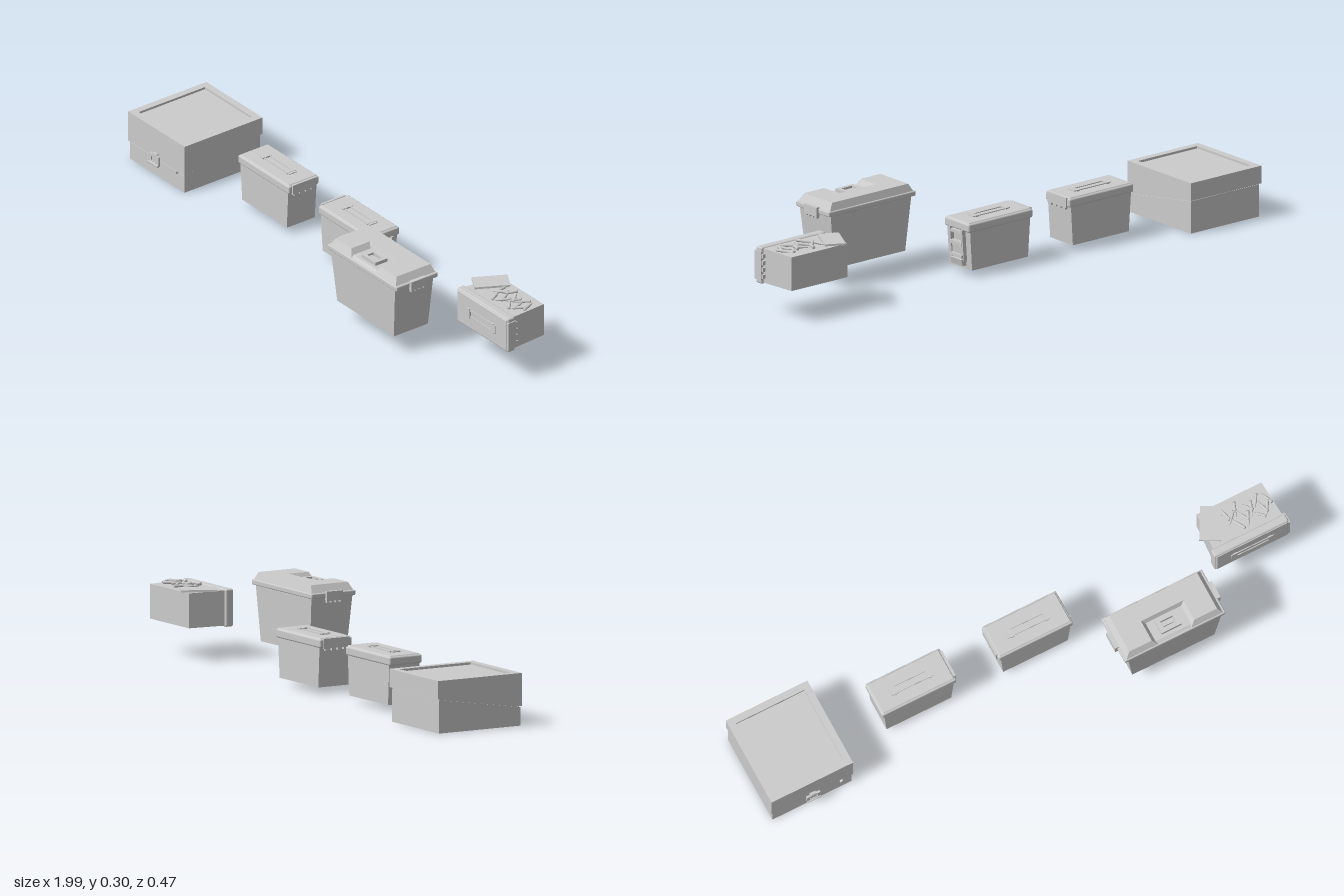
import * as THREE from 'three';
import { RoundedBoxGeometry } from 'three/addons/geometries/RoundedBoxGeometry.js';

const mat = new THREE.MeshStandardMaterial({ color: 0xcccccc });

function add(parent, name, geometry, x = 0, y = 0, z = 0) {
  const m = new THREE.Mesh(geometry, mat);
  m.name = name;
  m.position.set(x, y, z);
  parent.add(m);
  return m;
}

function group(parent, name, x, y, z) {
  const g = new THREE.Group();
  g.name = name;
  g.position.set(x, y, z);
  parent.add(g);
  return g;
}

const box = (w, h, d) => new THREE.BoxGeometry(w, h, d);

// Six-sided block with separate bottom and top rectangles [x0, x1, z0, z1]
function block(y0, b, y1, t) {
  const g = box(1, 1, 1), p = g.attributes.position;
  for (let i = 0; i < p.count; i++) {
    const up = p.getY(i) > 0, r = up ? t : b;
    p.setXYZ(i, r[p.getX(i) > 0 ? 1 : 0], up ? y1 : y0, r[p.getZ(i) > 0 ? 3 : 2]);
  }
  g.computeVertexNormals();
  return g;
}

// Extrudes a (z, y) outline along x, centred
function sideProfile(points, width) {
  const s = new THREE.Shape(points.map(([z, y]) => new THREE.Vector2(-z, y)));
  const g = new THREE.ExtrudeGeometry(s, { depth: width, bevelEnabled: false });
  return g.translate(0, 0, -width / 2).rotateY(Math.PI / 2);
}

// Rectangular ring lying flat, thickness upwards
function frame(w, d, iw, id, h) {
  const rect = (C, a, b) => new C([[-a, -b], [a, -b], [a, b], [-a, b]].map(([x, y]) => new THREE.Vector2(x / 2, y / 2)));
  const s = rect(THREE.Shape, w, d);
  s.holes.push(rect(THREE.Path, iw, id));
  return new THREE.ExtrudeGeometry(s, { depth: h, bevelEnabled: false }).rotateX(-Math.PI / 2);
}

// Square case with a slanted seam and a framed lid
function squareCase(root) {
  const g = group(root, 'squareCase', -0.845, 0, 0);
  add(g, 'caseBase', sideProfile([[0.094, 0], [0.094, 0.063], [-0.226, 0.113], [-0.226, 0]], 0.298));
  add(g, 'caseSeam', sideProfile([[0.091, 0.06], [0.091, 0.068], [-0.223, 0.12], [-0.223, 0.11]], 0.292));
  add(g, 'caseLid', sideProfile([[0.097, 0.067], [0.097, 0.171], [-0.233, 0.171], [-0.233, 0.117]], 0.308));
  add(g, 'caseLidFrame', frame(0.308, 0.33, 0.258, 0.28, 0.008), 0, 0.171, -0.068);
  // Front clasp and lock button
  const clasp = frame(0.05, 0.036, 0.03, 0.016, 0.008).rotateX(Math.PI / 2);
  add(g, 'claspRing', clasp, 0, 0.066, 0.1);
  add(g, 'claspTongue', box(0.022, 0.036, 0.012), 0, 0.07, 0.1);
  add(g, 'claspPin', new THREE.CylinderGeometry(0.004, 0.004, 0.05, 10).rotateZ(Math.PI / 2), 0, 0.05, 0.109);
  add(g, 'lockButton', new THREE.CylinderGeometry(0.007, 0.007, 0.01, 12).rotateX(Math.PI / 2), 0.11, 0.065, 0.099);
}

// Small metal box with strap handle; hingeSide is the x direction of the hinge
function smallBox(root, name, hingeSide, x, y, z) {
  const g = group(root, name, x, y, z);
  add(g, 'boxBody', block(0, [-0.122, 0.122, -0.059, 0.059], 0.15, [-0.132, 0.132, -0.06, 0.06]));
  add(g, 'boxLid', new RoundedBoxGeometry(0.28, 0.03, 0.128, 2, 0.006), 0, 0.15, 0);
  add(g, 'lidTop', block(0.16, [-0.138, 0.138, -0.062, 0.062], 0.168, [-0.132, 0.132, -0.056, 0.056]));
  // Strap handle on two brackets
  add(g, 'strapHandle', frame(0.16, 0.032, 0.136, 0.018, 0.003), 0, 0.169, 0);
  for (const s of [-1, 1]) add(g, 'handleBracket', box(0.012, 0.006, 0.038), s * 0.065, 0.17, 0);
  // Hinge plate with knuckles
  add(g, 'hingePlate', box(0.008, 0.034, 0.1), hingeSide * 0.14, 0.15, 0);
  for (let i = 0; i < 4; i++)
    add(g, 'hingeKnuckle', box(0.012, 0.01, 0.014), hingeSide * 0.137, 0.13, -0.036 + i * 0.024);
  return g;
}

// Lever latch on the +x end of a small box
function latch(g) {
  add(g, 'latchPlate', block(0.02, [0.118, 0.133, -0.031, 0.031], 0.095, [0.122, 0.138, -0.031, 0.031]));
  add(g, 'latchLever', block(0.012, [0.121, 0.138, -0.03, 0.03], 0.034, [0.121, 0.144, -0.03, 0.03]));
  for (const s of [-1, 1])
    add(g, 'latchArm', block(0.03, [0.122, 0.138, -0.004, 0.004], 0.14, [0.13, 0.146, -0.004, 0.004]), 0, 0, s * 0.031);
  for (const y of [0.045, 0.088, 0.128]) add(g, 'latchRung', box(0.014, 0.011, 0.062), 0.137, y, 0);
}

// Large tapered chest with a notched lid
function chest(root) {
  const g = group(root, 'chest', 0.455, 0, 0.145);
  add(g, 'chestBody', block(0.07, [-0.155, 0.155, -0.072, 0.072], 0.262, [-0.176, 0.176, -0.079, 0.083]));
  add(g, 'chestRim', new RoundedBoxGeometry(0.38, 0.018, 0.174, 2, 0.004), 0, 0.268, 0);
  const y0 = 0.276, y1 = 0.303;
  add(g, 'lidBack', block(y0, [-0.182, 0.182, -0.083, 0.002], y1, [-0.166, 0.166, -0.074, -0.008]));
  add(g, 'lidLeft', block(y0, [0.062, 0.182, -0.02, 0.083], y1, [0.08, 0.166, -0.02, 0.07]));
  add(g, 'lidRight', block(y0, [-0.182, -0.062, -0.02, 0.083], y1, [-0.166, -0.08, -0.02, 0.07]));
  add(g, 'notchFloor', block(y0, [-0.075, 0.075, -0.01, 0.082], 0.284, [-0.075, 0.075, -0.01, 0.072]));
  // Carrying handle in the notch
  add(g, 'chestHandle', frame(0.076, 0.052, 0.046, 0.026, 0.012), 0, 0.284, 0.034);
  add(g, 'handlePad', box(0.04, 0.006, 0.012), 0, 0.288, 0.034);
  // End clips with toothed lower edges
  for (const s of [-1, 1]) {
    add(g, 'endClip', box(0.014, 0.032, 0.064), s * 0.192, 0.266, 0);
    for (let i = 0; i < 4; i++) add(g, 'clipTooth', box(0.012, 0.008, 0.009), s * 0.192, 0.247, -0.026 + i * 0.0173);
  }
}

// Cartridge: rim, case, neck and pointed tip
function cartridgeGeometry() {
  const p = [[0, 0], [0.0055, 0], [0.0055, 0.003], [0.005, 0.004], [0.005, 0.03], [0.0032, 0.036], [0.0032, 0.042], [0.002, 0.05], [0, 0.056]];
  return new THREE.LatheGeometry(p.map(([r, y]) => new THREE.Vector2(r, y)), 10).translate(0, -0.028, 0).rotateZ(Math.PI / 2);
}

export function createModel() {
  const root = new THREE.Group();
  root.name = 'storageBoxes';
  squareCase(root);
  smallBox(root, 'plainBox', 1, -0.388, 0.022, -0.066);
  latch(smallBox(root, 'latchedBox', -1, 0.052, 0.022, -0.066));
  chest(root);

  // Box lying on its side, lid to the front
  smallBox(root, 'tippedBox', 1, 0.85, 0.174, -0.137).rotation.x = Math.PI / 2;

  // Loose card and cartridges on top
  const card = add(root, 'card', box(0.072, 0.007, 0.122), 0.752, 0.239, -0.084);
  card.rotation.set(0, -0.5, 0);
  const geo = cartridgeGeometry();
  let seed = 7;
  const rand = () => (seed = (seed * 16807) % 2147483647) / 2147483647;
  for (let i = 0; i < 13; i++) {
    const x = 0.81 + i * 0.0125, z = -0.065 + (i % 3 - 1) * 0.022 + (rand() - 0.5) * 0.012;
    add(root, 'cartridge', geo, x, 0.2395, z).rotation.y = (i % 2 ? 1 : -1) * (0.7 + rand() * 0.7);
  }
  return root;
}
